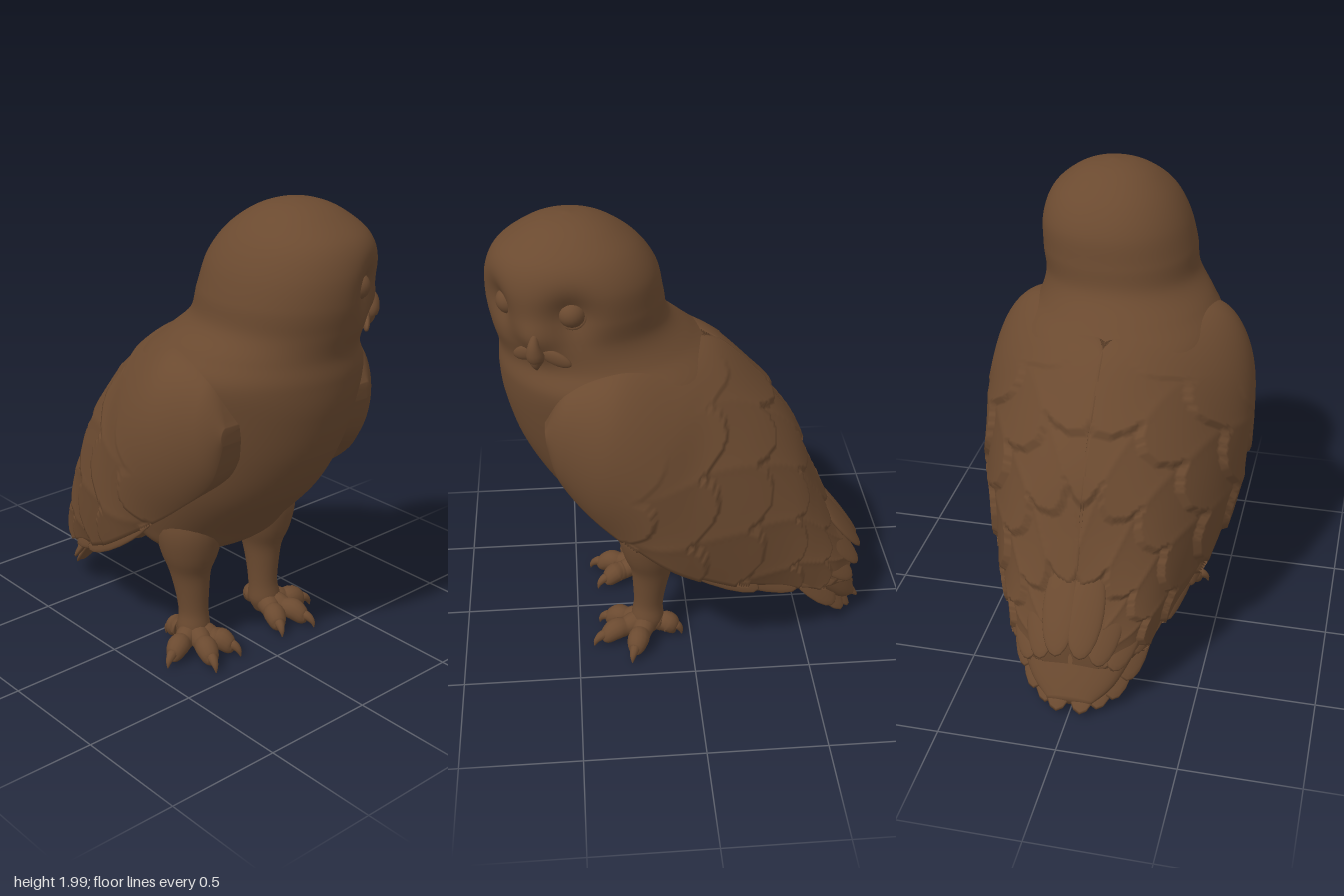
import * as THREE from 'three';

const V = (x, y, z) => new THREE.Vector3(x, y, z);
const brown = new THREE.MeshStandardMaterial({ color: 0x6b4a30 });
brown.name = 'plumage brown';

// Smooth interpolation through the rows of a station table, t in 0..1
function sample(table, t) {
  const f = Math.min(t, 0.99999) * (table.length - 1), i = Math.floor(f), k = f - i;
  const row = j => table[Math.max(0, Math.min(table.length - 1, j))];
  return table[0].map((_, c) => {
    const [a, b, d, e] = [row(i - 1)[c], row(i)[c], row(i + 1)[c], row(i + 2)[c]];
    return b + 0.5 * k * (d - a + k * (2 * a - 5 * b + 4 * d - e + k * (3 * (b - d) + e - a)));
  });
}

// Closed skin over rings of points; the winding is turned outward by its signed volume
function loft(rings) {
  const n = rings[0].length, pts = rings.flat(), idx = [];
  for (let i = 0; i < rings.length - 1; i++) for (let j = 0; j < n; j++) {
    const a = i * n + j, b = i * n + (j + 1) % n;
    idx.push(a, b, a + n, b, b + n, a + n);
  }
  [0, rings.length - 1].forEach((r, end) => {
    const c = pts.length, o = r * n;
    pts.push(rings[r].reduce((s, p) => s.add(p), V(0, 0, 0)).divideScalar(n));
    for (let j = 0; j < n; j++) {
      const a = o + j, b = o + (j + 1) % n;
      end ? idx.push(c, a, b) : idx.push(c, b, a);
    }
  });
  let vol = 0;
  for (let i = 0; i < idx.length; i += 3)
    vol += pts[idx[i]].dot(V(0, 0, 0).crossVectors(pts[idx[i + 1]], pts[idx[i + 2]]));
  if (vol < 0) idx.reverse();
  const g = new THREE.BufferGeometry().setFromPoints(pts);
  g.setIndex(idx);
  g.computeVertexNormals();
  return g;
}

// Round limb along rows of [x, y, z, radius]
function limb(table, steps = 16, sides = 14) {
  const rings = [];
  for (let i = 0; i <= steps; i++) {
    const t = i / steps, [x, y, z, r] = sample(table, t);
    const p = sample(table, Math.max(0, t - 0.02)), q = sample(table, Math.min(1, t + 0.02));
    const d = V(q[0] - p[0], q[1] - p[1], q[2] - p[2]).normalize();
    const u = V(0.31, 0.12, 0.94).cross(d).normalize(), w = d.clone().cross(u);
    rings.push(Array.from({ length: sides }, (_, j) => {
      const a = j / sides * Math.PI * 2;
      return V(x, y, z).addScaledVector(u, r * Math.cos(a)).addScaledVector(w, r * Math.sin(a));
    }));
  }
  return loft(rings);
}

// Flat oval feather from base to tip, its face turned toward up
function feather(base, tip, width, thick, up) {
  const d = tip.clone().sub(base), len = d.length();
  const x = d.normalize(), z = x.clone().cross(up).normalize(), y = z.clone().cross(x);
  const g = new THREE.SphereGeometry(1, 20, 12);
  g.scale(len / 2, thick, width);
  g.applyMatrix4(new THREE.Matrix4().makeBasis(x, y, z).setPosition(base.clone().lerp(tip, 0.5)));
  return g;
}

// Torso and head: y, x centre, half width, back z, front z
const BODY = [
  [0.45, 0, 0.16, 0.0, 0.2], [0.5, 0, 0.32, -0.12, 0.3], [0.6, 0, 0.38, -0.28, 0.39], [0.8, 0, 0.42, -0.4, 0.58],
  [1.0, 0, 0.43, -0.4, 0.7], [1.2, 0, 0.44, -0.27, 0.76], [1.34, 0, 0.44, -0.15, 0.775],
  [1.44, 0, 0.38, -0.03, 0.77], [1.54, 0.03, 0.335, 0.07, 0.79], [1.65, 0.05, 0.335, 0.095, 0.81],
  [1.77, 0.07, 0.318, 0.12, 0.805], [1.87, 0.08, 0.268, 0.185, 0.76], [1.945, 0.08, 0.185, 0.28, 0.66],
  [1.985, 0.08, 0.1, 0.37, 0.57], [2.0, 0.08, 0.01, 0.46, 0.48],
];
// The face is turned toward the owl's left
const HEAD = V(0.05, 1.66, 0.45), TURN = 1.09;
const facing = (angle, r, y) => V(HEAD.x + r * Math.sin(angle), y, HEAD.z + r * Math.cos(angle));
const EYES = [[TURN - 0.63, 0.286], [TURN + 0.42, 0.27]];

function bodyGeometry() {
  // Eye sockets pressed in, and the muzzle swelling out: place, depth, spread
  const shapes = EYES.map(([a, r]) => [facing(a, r + 0.055, 1.68), 0.06, 0.009]);
  shapes.push([facing(TURN, 0.36, 1.57), -0.042, 0.006]);
  const rings = [];
  for (let i = 0; i <= 130; i++) {
    const [y, cx, rx, z0, z1] = sample(BODY, i / 130);
    // The head is a little squarer in plan than the torso
    const power = 1 - 0.06 * THREE.MathUtils.smoothstep(y, 1.45, 1.6);
    const soft = c => Math.sign(c) * Math.abs(c) ** power;
    rings.push(Array.from({ length: 90 }, (_, j) => {
      const a = j / 90 * Math.PI * 2;
      const p = V(cx + rx * soft(Math.sin(a)), y, (z0 + z1) / 2 + (z1 - z0) / 2 * soft(Math.cos(a)));
      const inward = V(HEAD.x - p.x, 0, HEAD.z - p.z).normalize(), start = p.clone();
      for (const [c, depth, spread] of shapes)
        p.addScaledVector(inward, depth * Math.exp(-start.distanceToSquared(c) / spread));
      return p;
    }));
  }
  return loft(rings);
}

// Folded wing: upper edge z, y, x, then lower edge z, y, then greatest x
const WING = [
  [0.595, 1.2, 0.39, 0.59, 1.13, 0.41], [0.5, 1.37, 0.37, 0.54, 0.96, 0.49], [0.3, 1.44, 0.34, 0.4, 0.81, 0.58],
  [0.05, 1.43, 0.12, 0.2, 0.66, 0.595], [-0.14, 1.38, -0.006, 0.0, 0.53, 0.55], [-0.32, 1.2, -0.006, -0.2, 0.43, 0.475],
  [-0.46, 0.99, -0.006, -0.4, 0.35, 0.385], [-0.56, 0.74, -0.006, -0.54, 0.28, 0.32], [-0.65, 0.52, -0.006, -0.65, 0.24, 0.25],
  [-0.74, 0.36, -0.006, -0.74, 0.24, 0.13],
];
function wingGeometry(side) {
  const rings = [], N = 60, ROWS = 7.5;
  for (let i = 0; i <= 170; i++) {
    const u = i / 170, [tz, ty, tx, bz, by, out] = sample(WING, u);
    // The front of the wing tucks in against the breast
    const sweep = 2.75 - 0.9 * THREE.MathUtils.smoothstep(u, 0.1, 0.42);
    const point = (v, lift, inset) => {
      const a = v * sweep, s = (1 - Math.cos(a)) / (1 - Math.cos(sweep));
      const c = Math.max(0, Math.cos(a));
      const x = tx + (out - tx) * Math.sin(a) - inset + lift * Math.sin(a);
      return V(side * Math.max(-0.006, x), ty + (by - ty) * s + lift * c * 0.7, tz + (bz - tz) * s - lift * c * 0.6);
    };
    const ring = [];
    // Overlapping rows of scalloped feather tips, fading into a smooth mantle
    for (let j = 0; j <= N; j++) {
      const v = j / N, q = u * ROWS - 0.45 * Math.sqrt(Math.abs(Math.sin(Math.PI * (v * 4 + u * ROWS * 0.5))));
      const mask = THREE.MathUtils.smoothstep(u + 0.3 * v, 0.46, 0.64);
      ring.push(point(v, 0.024 * mask * (q - Math.floor(q) - 0.5), 0));
    }
    for (let j = 12; j > 0; j--) ring.push(point(j / 12.5, 0, 0.12));
    rings.push(ring);
  }
  return loft(rings);
}

// Tail core: z, y, half width, half thickness
const TAIL = [[0.12, 0.62, 0.36, 0.1], [-0.2, 0.54, 0.4, 0.13], [-0.4, 0.45, 0.34, 0.13],
  [-0.58, 0.28, 0.26, 0.1], [-0.7, 0.14, 0.18, 0.06], [-0.77, 0.07, 0.09, 0.02]];
function tailGeometry() {
  return loft(Array.from({ length: 31 }, (_, i) => {
    const [z, y, w, h] = sample(TAIL, i / 30);
    return Array.from({ length: 32 }, (_, j) => {
      const a = j / 32 * Math.PI * 2;
      return V(w * Math.cos(a), y + h * Math.sin(a), z - h * 0.4 * Math.sin(a));
    });
  }));
}

export function createModel() {
  const owl = new THREE.Group();
  owl.name = 'owl';
  const add = (name, g) => {
    const m = new THREE.Mesh(g, brown);
    m.name = name;
    owl.add(m);
    return m;
  };
  add('bodyAndHead', bodyGeometry());
  add('tailCore', tailGeometry());

  // Eyes with lid rings
  for (const [a, r] of EYES) {
    add('eye', new THREE.SphereGeometry(0.056, 24, 16)).position.copy(facing(a, r, 1.68));
    const lid = add('eyelid', new THREE.TorusGeometry(0.055, 0.011, 10, 28));
    lid.position.copy(facing(a, r + 0.014, 1.68));
    lid.rotation.y = a;
  }

  // Hooked beak and the ruffs beside it
  const beak = [[0.35, 1.61, 0.012], [0.365, 1.57, 0.024], [0.36, 1.535, 0.034], [0.35, 1.51, 0.033],
    [0.352, 1.485, 0.02], [0.348, 1.46, 0.003]].map(([r, y, w]) => [...facing(TURN, r, y).toArray(), w]);
  add('beak', limb(beak, 20));
  for (const s of [-1, 1])
    add('cheekRuff', feather(facing(TURN + s * 0.02, 0.33, 1.535), facing(TURN + s * 0.4, 0.325, 1.48), 0.03, 0.016,
      V(Math.sin(TURN), 0, Math.cos(TURN))));

  for (const s of [1, -1]) {
    const side = s > 0 ? 'left' : 'right';
    add(side + 'Wing', wingGeometry(s));

    // Long flight feathers under the wing edge
    [[0.48, 0.76, 0.28, 0.42, 0.38, -0.28], [0.47, 0.68, 0.15, 0.35, 0.32, -0.46], [0.42, 0.6, -0.02, 0.25, 0.27, -0.65],
      [0.34, 0.5, -0.25, 0.17, 0.24, -0.74]].forEach(([a, b, c, d, e, f]) =>
      add(side + 'FlightFeather', feather(V(s * a, b, c), V(s * d, e, f), 0.07, 0.018, V(s * d * 2.5, 0.4, -0.35))));

    // Wing tip feathers lying over the tail
    [[0.06, 0.64, -0.56, 0.05, 0.32, -0.795], [0.15, 0.58, -0.53, 0.12, 0.28, -0.775],
      [0.23, 0.5, -0.48, 0.18, 0.24, -0.74]].forEach(([a, b, c, d, e, f]) =>
      add(side + 'TipFeather', feather(V(s * a, b, c), V(s * d, e, f), 0.075, 0.02, V(s * d * 2.5, 0.6, -0.6))));

    // Tail feathers
    [[0.05, 0.035, -0.8], [0.11, 0.03, -0.75], [0.17, 0.06, -0.71], [0.22, 0.13, -0.66]].forEach(([x, y, z], i) =>
      add('tailFeather', feather(V(s * (0.05 + 0.06 * i), 0.5, -0.36), V(s * x, y, z), 0.09, 0.02, V(s * 0.2 * i, 0.6, -0.6))));

    // Leg, widening into the thigh
    add(side + 'Leg', limb([[s * 0.2, 0.75, 0.15, 0.13], [s * 0.21, 0.6, 0.165, 0.15], [s * 0.212, 0.48, 0.17, 0.128],
      [s * 0.21, 0.38, 0.17, 0.092], [s * 0.207, 0.28, 0.178, 0.074], [s * 0.205, 0.18, 0.185, 0.065],
      [s * 0.21, 0.1, 0.19, 0.072], [s * 0.21, 0.04, 0.19, 0.045]], 28, 24));

    // Knuckled toes ending in hooked claws
    [[0.42, 0.27], [0.29, 0.43], [0.125, 0.4], [0.24, 0.04]].forEach(([x, z]) => {
      const at = (k, y, r) => [s * (0.21 + (x - 0.21) * k), y, 0.19 + (z - 0.19) * k, r];
      add(side + 'Toe', limb([at(0, 0.085, 0.05), at(0.25, 0.085, 0.049), at(0.42, 0.075, 0.043), at(0.6, 0.075, 0.048),
        at(0.78, 0.05, 0.036), at(0.86, 0.045, 0.018)], 20));
      add(side + 'Claw', limb([at(0.72, 0.06, 0.022), at(0.86, 0.06, 0.021), at(0.97, 0.04, 0.013), at(1.01, 0.012, 0.002)], 12, 10));
    });
  }
  return owl;
}
